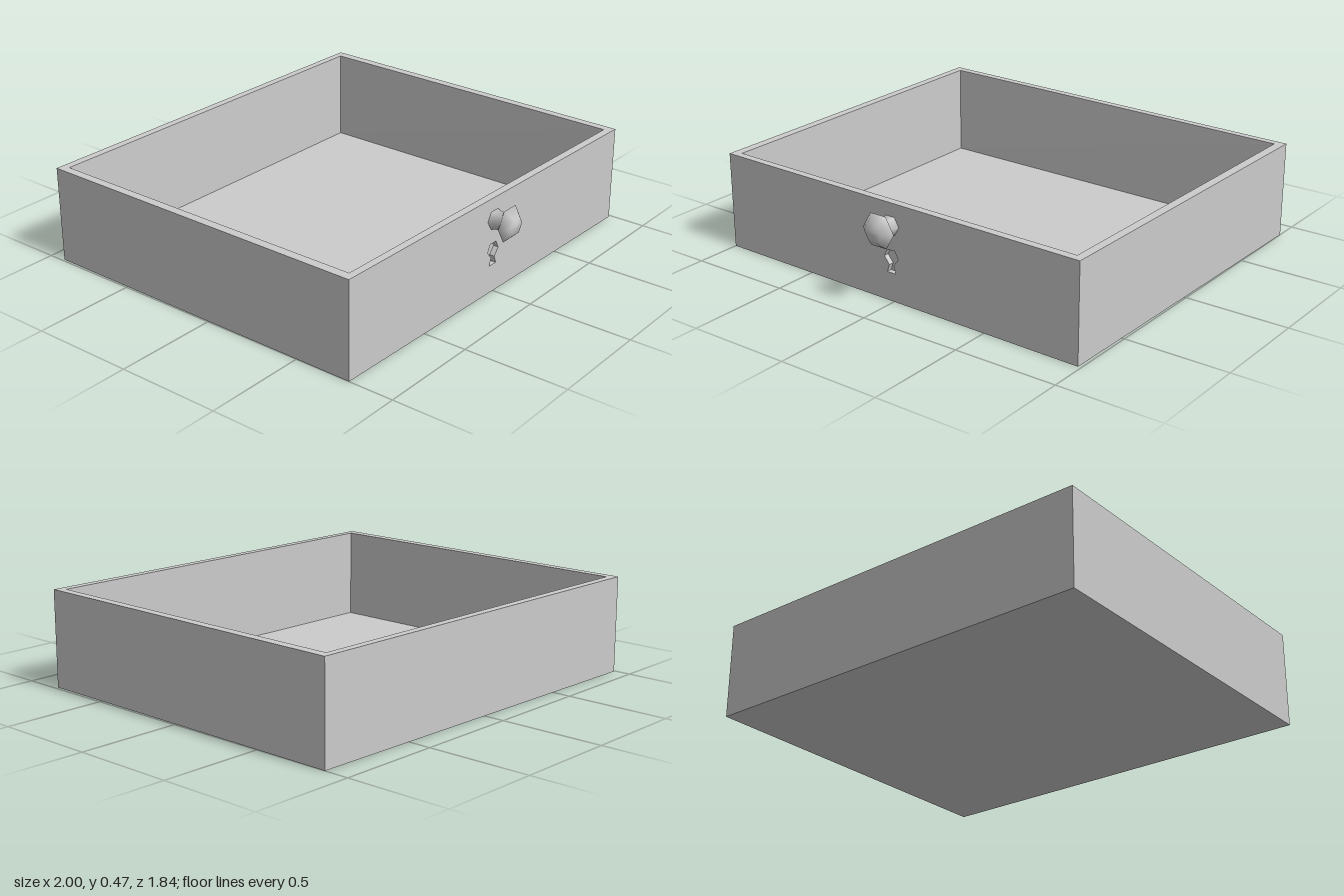
import * as THREE from 'three';

const HEIGHT = 0.465;
const FLOOR = 0.025;
const RECESS = 0.025;

// Corners as [x, z]: back left of the plan, front left, front right, back right
const OUTER = [[-0.99, -0.92], [-1, 0.78], [0.985, 0.82], [1, -0.88]];
const INNER = [[-0.95, -0.88], [-0.955, 0.745], [0.945, 0.78], [0.955, -0.845]];
const BASE = [[-0.943, -0.868], [-0.95, 0.745], [0.942, 0.78], [0.945, -0.838]];

const at = ([x, z], y) => [x, y, z];

// Flat-shaded geometry from four-cornered faces
function quads(list) {
  const pos = [];
  for (const [a, b, c, d] of list) pos.push(...a, ...b, ...c, ...a, ...c, ...d);
  const g = new THREE.BufferGeometry();
  g.setAttribute('position', new THREE.Float32BufferAttribute(pos, 3));
  g.computeVertexNormals();
  return g;
}

// Depth of the slightly skewed front face
const frontZ = (x) => 0.78 + (x + 1) * 0.04 / 1.985;

// Lays a flat shape onto the front face, pushed in by an inset
function onFront(shape, inset) {
  const g = new THREE.ShapeGeometry(shape);
  const p = g.attributes.position;
  for (let i = 0; i < p.count; i++) p.setZ(i, frontZ(p.getX(i)) - inset);
  g.computeVertexNormals();
  return g;
}

export function createModel() {
  const group = new THREE.Group();
  const mat = new THREE.MeshStandardMaterial({ color: 0xcccccc });
  const add = (name, geometry) => {
    const mesh = new THREE.Mesh(geometry, mat);
    mesh.name = name;
    group.add(mesh);
    return mesh;
  };

  // Side and back walls, inner walls and rim
  const outside = [], inside = [], rim = [];
  for (let i = 0; i < 4; i++) {
    const j = (i + 1) % 4;
    if (i !== 1) {
      outside.push([at(OUTER[i], 0), at(OUTER[j], 0), at(OUTER[j], HEIGHT), at(OUTER[i], HEIGHT)]);
    }
    inside.push([at(BASE[j], FLOOR), at(BASE[i], FLOOR), at(INNER[i], HEIGHT), at(INNER[j], HEIGHT)]);
    rim.push([at(OUTER[i], HEIGHT), at(OUTER[j], HEIGHT), at(INNER[j], HEIGHT), at(INNER[i], HEIGHT)]);
  }
  add('outerWalls', quads(outside));
  add('innerWalls', quads(inside));
  add('rim', quads(rim));
  add('floor', quads([BASE.map((c) => at(c, FLOOR))]));
  add('underside', quads([[...OUTER].reverse().map((c) => at(c, 0))]));

  // Keyhole outline, counterclockwise: flared slot below a hexagonal eye
  const half = [[0.025, 0.136], [0.012, 0.172], [0.04, 0.207], [0.021, 0.243]];
  const hole = [
    ...half.map(([x, y]) => new THREE.Vector2(x - 0.01, y)),
    ...[...half].reverse().map(([x, y]) => new THREE.Vector2(-x - 0.01, y)),
  ];

  // Front panel with the keyhole cut out
  const panel = new THREE.Shape([[-1, 0], [0.985, 0], [0.985, HEIGHT], [-1, HEIGHT]]
    .map(([x, y]) => new THREE.Vector2(x, y)));
  panel.holes.push(new THREE.Path(hole));
  add('frontPanel', onFront(panel, 0));

  // Keyhole recess
  add('keyholeBack', onFront(new THREE.Shape(hole), RECESS));
  add('keyholeSides', quads(hole.map((a, i) => {
    const b = hole[(i + 1) % hole.length];
    const za = frontZ(a.x), zb = frontZ(b.x);
    return [[a.x, a.y, za], [b.x, b.y, zb], [b.x, b.y, zb - RECESS], [a.x, a.y, za - RECESS]];
  })));

  // Six-sided knob on a short stem
  const profile = [[0.05, 0.79], [0.038, 0.85], [0.086, 0.878], [0.045, 0.915], [0, 0.92]];
  const knob = add('knob', new THREE.LatheGeometry(
    profile.map(([r, z]) => new THREE.Vector2(r, z)), 6, Math.PI / 6));
  knob.rotation.x = Math.PI / 2;
  knob.position.set(-0.01, 0.36, 0);

  return group;
}
